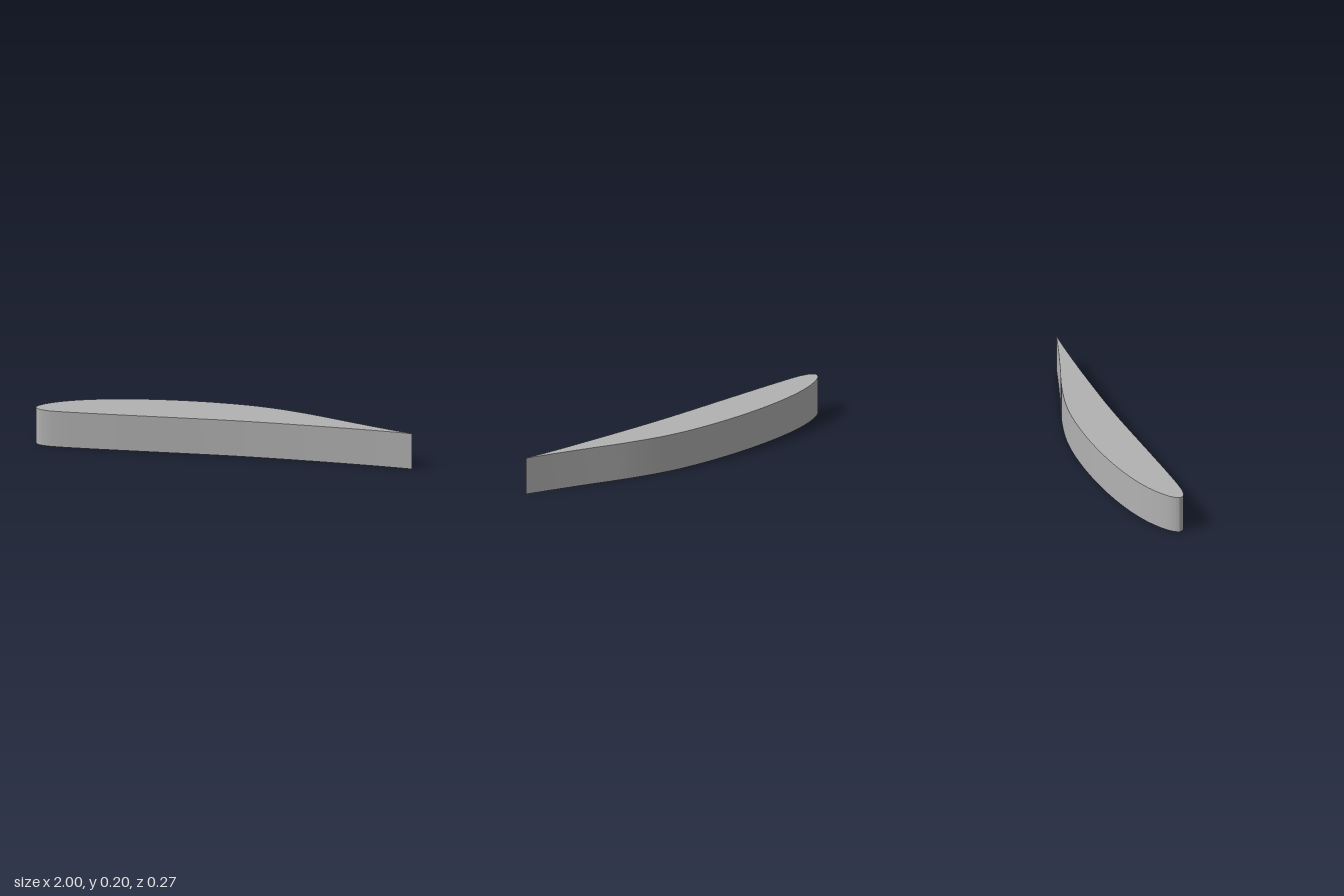
import * as THREE from 'three';
import { toCreasedNormals } from 'three/addons/utils/BufferGeometryUtils.js';

// Section outline as [x, z]: trailing edge, convex back, rounded nose, then the shallow front
const OUTLINE = [
  [1, 0.095], [0.85, 0.054], [0.67, 0.002], [0.4, -0.078], [0.17, -0.124], [-0.1, -0.138],
  [-0.4, -0.121], [-0.66, -0.078], [-0.84, -0.022], [-0.95, 0.037], [-0.988, 0.072],
  [-1, 0.098], [-0.983, 0.121], [-0.94, 0.134], [-0.88, 0.137], [-0.7, 0.131],
  [-0.4, 0.115], [0, 0.093], [0.2, 0.087], [0.6, 0.085], [0.85, 0.089], [1, 0.095],
];
const HEIGHT = 0.2;

export function createModel() {
  const group = new THREE.Group();
  group.name = 'wingSection';

  const grey = new THREE.MeshStandardMaterial({ color: 0xb2b2b2 });
  grey.name = 'grey';

  // Smooth curve through the outline, sharp only at the trailing edge
  const curve = new THREE.CatmullRomCurve3(
    OUTLINE.map(([x, z]) => new THREE.Vector3(x, -z, 0)), false, 'centripetal');
  const points = curve.getPoints(126).slice(0, -1).map((p) => new THREE.Vector2(p.x, p.y));

  // Straight extrusion stood upright
  const extruded = new THREE.ExtrudeGeometry(new THREE.Shape(points), {
    depth: HEIGHT, bevelEnabled: false, steps: 1,
  });
  extruded.rotateX(-Math.PI / 2);

  const wing = new THREE.Mesh(toCreasedNormals(extruded, Math.PI / 5), grey);
  wing.name = 'wing';
  group.add(wing);
  return group;
}
